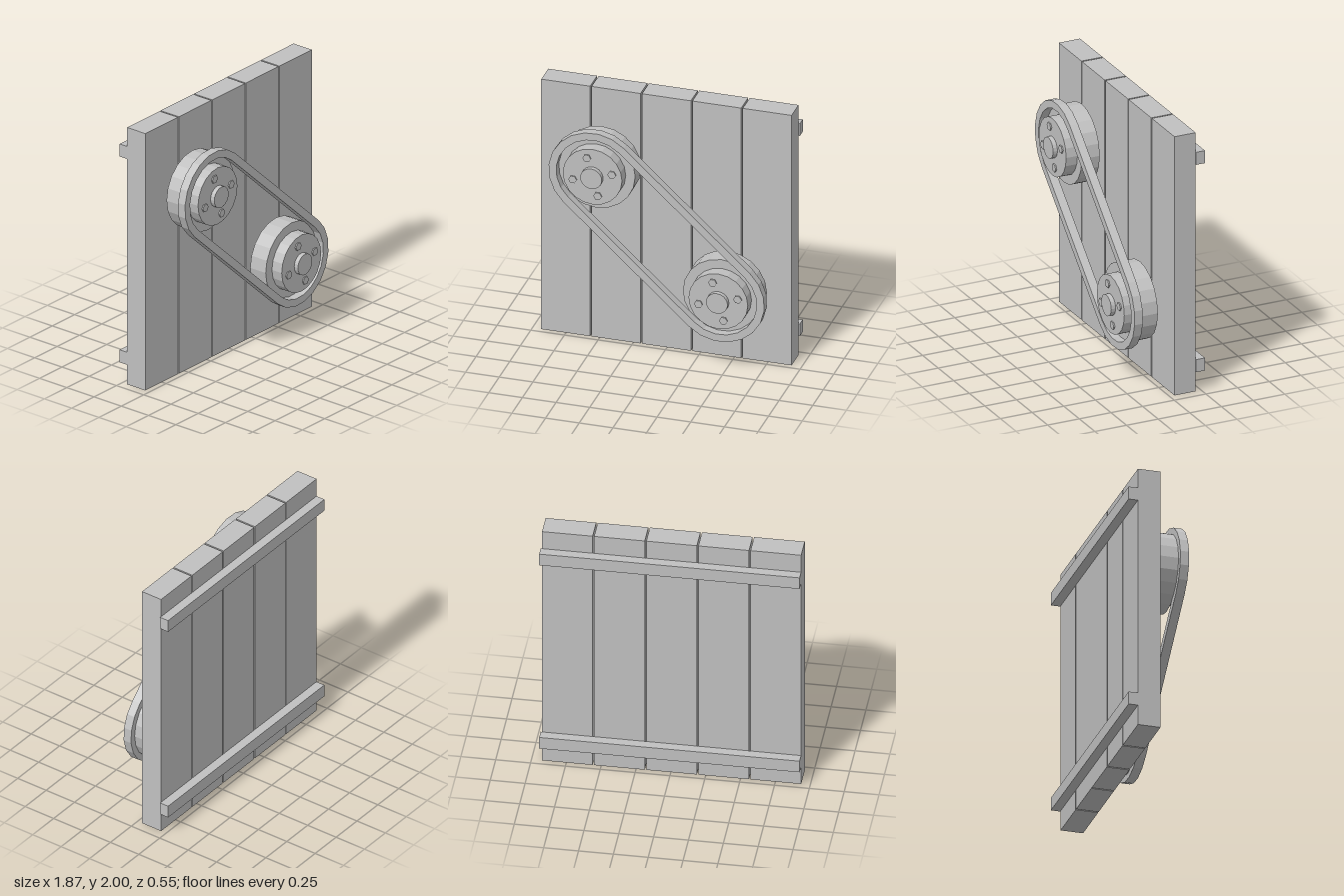
import * as THREE from 'three';

export function createModel() {
  const model = new THREE.Group();
  const grey = new THREE.MeshStandardMaterial({ color: 0xc0c0c0, flatShading: true });
  grey.name = 'plainGrey';

  const add = (parent, name, geometry, x, y, z) => {
    const mesh = new THREE.Mesh(geometry, grey);
    mesh.name = name;
    mesh.position.set(x, y, z);
    parent.add(mesh);
    return mesh;
  };

  // Disc facing +z, spanning z0 to z1
  const disc = (parent, name, radius, z0, z1, sides, x = 0, y = 0) => {
    const g = new THREE.CylinderGeometry(radius, radius, z1 - z0, sides, 1, false, sides === 6 ? Math.PI / 2 : 0);
    g.rotateX(Math.PI / 2);
    return add(parent, name, g, x, y, (z0 + z1) / 2);
  };

  // Upright planks
  for (let i = 0; i < 5; i++) {
    add(model, 'plank', new THREE.BoxGeometry(0.363, 2, 0.167), -0.753 + i * 0.374, 1, -0.1225);
  }

  // Horizontal battens across the back
  for (const y of [0.2, 1.803]) {
    add(model, 'batten', new THREE.BoxGeometry(1.868, 0.097, 0.07), 0, y, -0.24);
  }

  // Two pulleys, each with a drum, hub, axle end and four hex bolts
  const centres = [[-0.467, 1.431], [0.467, 0.579]];
  for (const [x, y] of centres) {
    const pulley = new THREE.Group();
    pulley.name = 'pulley';
    pulley.position.set(x, y, 0);
    disc(pulley, 'drum', 0.29, 0.01, 0.152, 20);
    disc(pulley, 'hub', 0.22, 0.15, 0.241, 20);
    disc(pulley, 'axleEnd', 0.08, 0.24, 0.275, 20);
    for (let i = 0; i < 4; i++) {
      const a = 0.27 + i * Math.PI / 2;
      disc(pulley, 'bolt', 0.031, 0.235, 0.251, 6, 0.151 * Math.cos(a), 0.151 * Math.sin(a));
    }
    model.add(pulley);
  }

  // Belt: a stadium outline around both pulleys with a matching hole
  const [a, b] = centres;
  const normal = Math.atan2(b[1] - a[1], b[0] - a[0]) + Math.PI / 2;
  const outline = (radius) => {
    const points = [];
    [a, b].forEach(([x, y], k) => {
      for (let i = 0; i <= 10; i++) {
        const t = normal + (k + i / 10) * Math.PI;
        points.push(new THREE.Vector2(x + radius * Math.cos(t), y + radius * Math.sin(t)));
      }
    });
    return points;
  };
  const beltShape = new THREE.Shape(outline(0.335));
  beltShape.holes.push(new THREE.Path(outline(0.278)));
  add(model, 'belt', new THREE.ExtrudeGeometry(beltShape, { depth: 0.065, bevelEnabled: false }), 0, 0, 0.15);

  return model;
}
